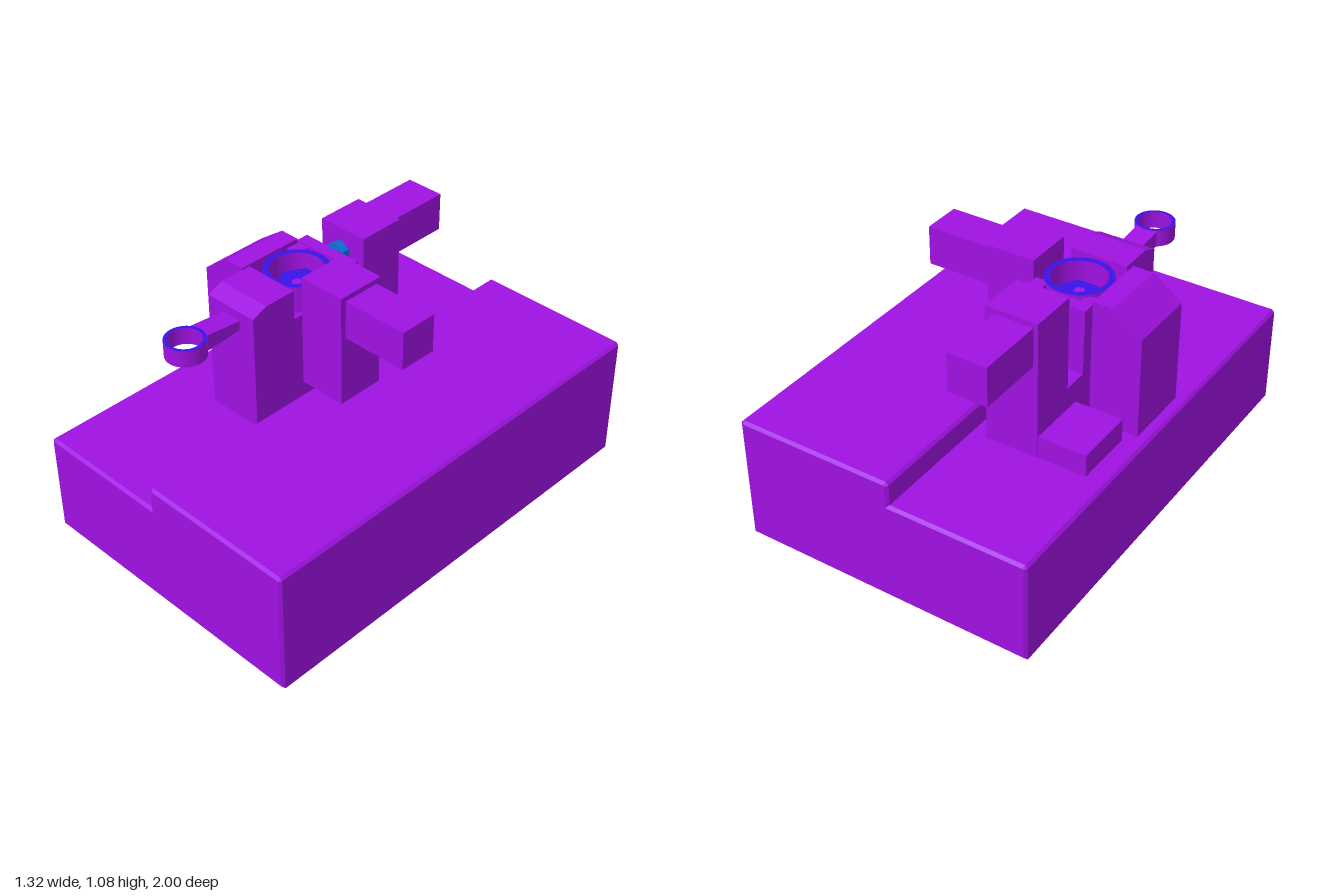
import * as THREE from 'three';

const mat = (color) => new THREE.MeshStandardMaterial({ color, flatShading: true });

export function createModel() {
  const group = new THREE.Group();
  const purple = mat(0x9f12e2), violet = mat(0x3a12e8), blue = mat(0x0a70d8);
  const cx = -0.245, cz = 0.015; // axis of the clamped rod's big end

  function add(name, geometry, material = purple) {
    const mesh = new THREE.Mesh(geometry, material);
    mesh.name = name;
    group.add(mesh);
    return mesh;
  }
  // box given by its limits on each axis
  function box(name, [x0, x1], [y0, y1], [z0, z1], material) {
    const g = new THREE.BoxGeometry(x1 - x0, y1 - y0, z1 - z0);
    g.translate((x0 + x1) / 2, (y0 + y1) / 2, (z0 + z1) / 2);
    return add(name, g, material);
  }
  const shape = (pts) => new THREE.Shape(pts.map(([a, b]) => new THREE.Vector2(a, b)));
  // (x, y) profile drawn out along z
  function alongZ(name, pts, z0, z1) {
    const g = new THREE.ExtrudeGeometry(shape(pts), { depth: z1 - z0, bevelEnabled: false });
    return add(name, g.translate(0, 0, z0));
  }
  // (z, y) profile drawn out along x
  function alongX(name, pts, x0, x1) {
    const g = new THREE.ExtrudeGeometry(shape(pts), { depth: x1 - x0, bevelEnabled: false });
    return add(name, g.rotateY(-Math.PI / 2).translate(x1, 0, 0));
  }
  // hollow ring with a coloured top rim
  function ring(name, rIn, rOut, y0, y1, z) {
    const body = new THREE.LatheGeometry(
      [[rIn, y1], [rIn, y0], [rOut, y0], [rOut, y1]].map(([r, y]) => new THREE.Vector2(r, y)), 40);
    const side = new THREE.MeshStandardMaterial({ color: 0x9f12e2, flatShading: true, side: THREE.DoubleSide });
    add(name, body, side).position.set(cx, 0, z);
    const rim = new THREE.RingGeometry(rIn, rOut, 40).rotateX(-Math.PI / 2);
    add(name + 'Rim', rim, violet).position.set(cx, y1, z);
  }

  // stepped base with chamfered edges
  const c = 0.012;
  const base = new THREE.ExtrudeGeometry(shape([
    [-0.66, 0], [0.66, 0], [0.66, 0.565 - c], [0.66 - c, 0.565], [-0.05 + c, 0.565],
    [-0.05, 0.565 - c], [-0.05, 0.46], [-0.66 + c, 0.46], [-0.66, 0.46 - c],
  ]), { depth: 2 - 2 * c, bevelThickness: c, bevelSize: c, bevelOffset: -c, bevelSegments: 1 });
  add('base', base.translate(0, 0, -1 + c));

  // fixture posts and central pedestal
  alongZ('sidePost', [[-0.61, 0.45], [-0.39, 0.45], [-0.39, 1.01], [-0.48, 1.01], [-0.61, 0.915]], -0.13, 0.18);
  alongX('frontPost', [[0.12, 0.45], [0.375, 0.45], [0.375, 0.985], [0.305, 1.015],
    [0.155, 1.015], [0.155, 0.88], [0.12, 0.88]], -0.375, -0.12);
  box('pedestal', [-0.355, -0.12], [0.45, 0.88], [-0.127, 0.12]);
  box('pedestalBridge', [-0.355, -0.12], [0.45, 0.66], [-0.24, -0.127]);
  box('footBlock', [-0.57, -0.355], [0.45, 0.56], [-0.45, -0.18]);

  // clamping cylinders
  box('rearPost', [-0.355, -0.12], [0.45, 1.075], [-0.455, -0.24]);
  box('rearActuator', [-0.335, -0.16], [0.88, 1.052], [-0.755, -0.455]);
  box('rightPost', [-0.1, 0.115], [0.567, 1.075], [-0.09, 0.13]);
  box('rightActuator', [0.115, 0.415], [0.88, 1.052], [-0.068, 0.105]);

  // clamp tip of the rear actuator
  [[0.052, -0.242, -0.205], [0.036, -0.205, -0.16]].forEach(([r, z0, z1]) => {
    const g = new THREE.CylinderGeometry(r, r, z1 - z0, 6).rotateX(Math.PI / 2);
    add('clampTip', g, blue).position.set(cx - 0.002, 0.965, (z0 + z1) / 2);
  });

  // connecting rod held in the fixture
  ring('bigEnd', 0.115, 0.14, 0.88, 1.0, cz);
  ring('smallEnd', 0.07, 0.085, 0.885, 0.96, 0.615);
  box('bigEndFlange', [-0.395, -0.105], [0.885, 1.0], [-0.19, -0.135]);
  box('flangeNeck', [-0.355, -0.135], [0.885, 0.99], [-0.137, -0.07]);
  // clear the neck out of the bore: two short cheeks replace it
  group.remove(group.getObjectByName('flangeNeck'));
  for (const s of [-1, 1]) {
    const x = cx + s * 0.115;
    box('flangeCheek', [x - 0.03, x + 0.03], [0.885, 0.99], [-0.137, -0.07]);
  }
  alongX('shank', [[0.14, 0.9], [0.38, 0.9], [0.54, 0.887], [0.54, 0.958], [0.38, 0.943], [0.14, 0.943]], -0.295, -0.2);

  // hexagonal locator with centre pin
  add('locatorHex', new THREE.CylinderGeometry(0.1, 0.1, 0.05, 6).rotateY(Math.PI / 6), violet)
    .position.set(cx, 0.905, 0);
  add('locatorPin', new THREE.CylinderGeometry(0.022, 0.022, 0.06, 20)).position.set(cx, 0.905, cz);
  return group;
}
